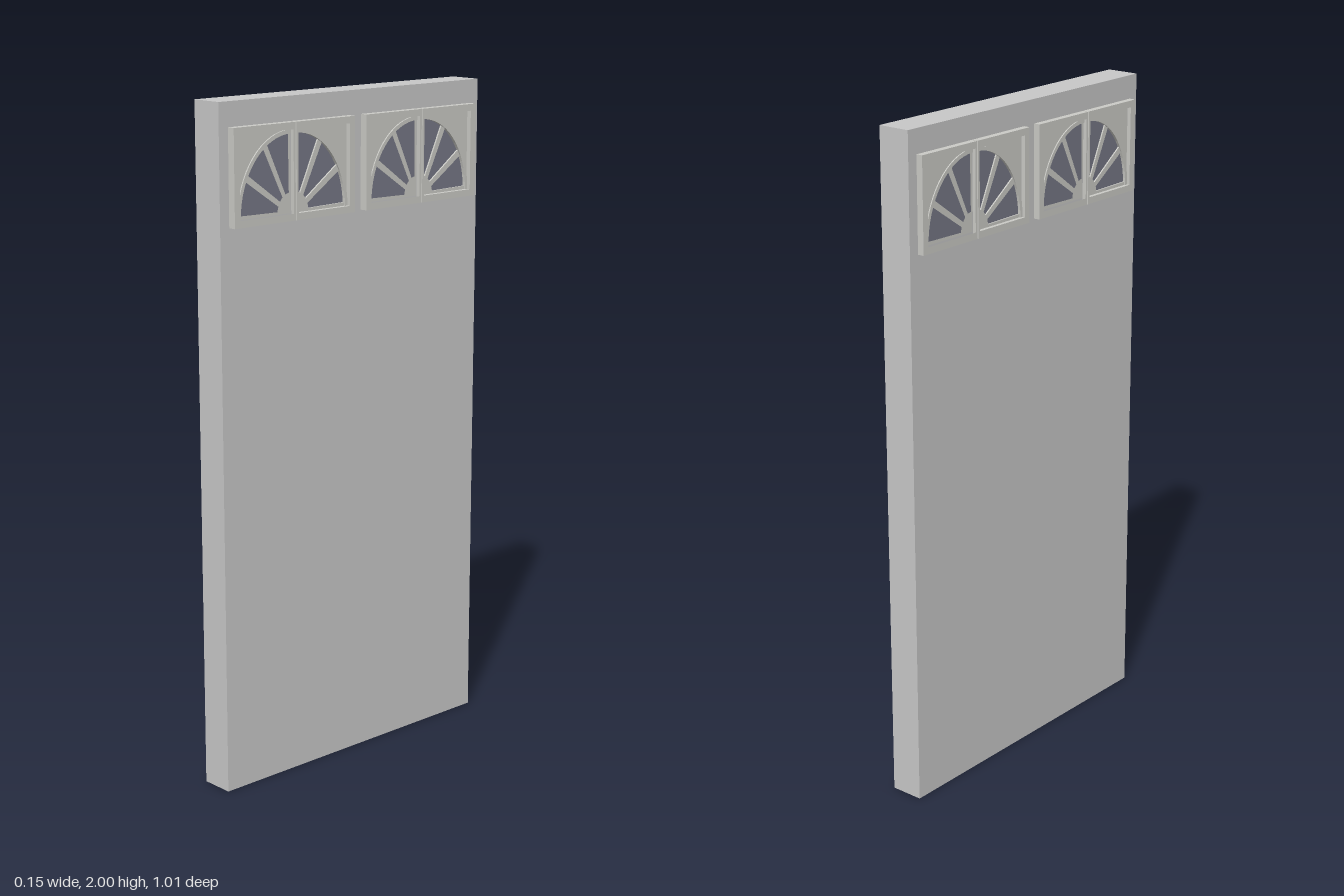
import * as THREE from 'three';

const WIDTH = 0.225, HEIGHT = 0.275;              // one sash
const IN = { u0: 0.009, u1: 0.205, v0: 0.02, v1: 0.255 }; // sash opening
const RX = IN.u1 - IN.u0, RY = IN.v1 - IN.v0;     // fan radii

// Closed outline from [u, v] points; s mirrors the sash
const outline = (pts, s, Type = THREE.Shape) =>
  new Type(pts.map(([u, v]) => new THREE.Vector2(u * s, v)));

const rect = (u0, v0, u1, v1) => [[u0, v0], [u1, v0], [u1, v1], [u0, v1]];

// Points along an elliptical arc round the fan centre
function arc(k, a0, a1, n) {
  return Array.from({ length: n + 1 }, (_, i) => {
    const a = a0 + (a1 - a0) * i / n;
    return [IN.u0 + RX * k * Math.cos(a), IN.v0 + RY * k * Math.sin(a)];
  });
}

// Ring sector; the inner ends get a wider angular gap so the spokes stay parallel
function sector(a0, a1) {
  const outer = arc(0.95, a0 + 0.045, a1 - 0.045, 8);
  const inner = arc(0.25, a0 + 0.13, a1 - 0.13, 4).reverse();
  return [...outer, ...inner];
}

export function createModel() {
  const group = new THREE.Group();
  const mat = (name, color) => new THREE.MeshStandardMaterial({ name, color });
  const doorPaint = mat('door grey', 0xc8c8c8);
  const trimPaint = mat('trim grey', 0xcbcbc6);
  const glassPaint = mat('tinted glass', 0x777886);

  // Door slab
  const slab = new THREE.Mesh(new THREE.BoxGeometry(0.101, 2, 1.01), doorPaint);
  slab.name = 'doorSlab';
  slab.position.set(-0.0025, 1, 0);
  group.add(slab);

  const part = (parent, name, shape, depth, material) => {
    const geo = new THREE.ExtrudeGeometry(shape, { depth, bevelEnabled: false });
    const mesh = new THREE.Mesh(geo, material);
    mesh.name = name;
    parent.add(mesh);
  };

  // One sash with a quarter sunburst
  function sash(s) {
    const g = new THREE.Group();
    g.name = 'sash';

    const frame = outline(rect(0.002, 0, WIDTH, HEIGHT), s);
    frame.holes.push(outline(rect(IN.u0, IN.v0, IN.u1, IN.v1), s, THREE.Path));
    part(g, 'sashFrame', frame, 0.0225, trimPaint);

    // Fan panel: three glazed openings between spokes and hub
    const panel = outline(rect(IN.u0, IN.v0, IN.u1, IN.v1), s);
    for (let i = 0; i < 3; i++) {
      const pts = sector(i * Math.PI / 6, (i + 1) * Math.PI / 6);
      panel.holes.push(outline(pts, s, THREE.Path));
    }
    part(g, 'fanPanel', panel, 0.009, trimPaint);

    // Raised arch moulding
    const rim = [...arc(1, 0, Math.PI / 2, 16), ...arc(0.95, 0, Math.PI / 2, 16).reverse()];
    part(g, 'archRim', outline(rim, s), 0.013, trimPaint);

    part(g, 'glass', outline(rect(IN.u0, IN.v0, IN.u1, IN.v1), s), 0.004, glassPaint);
    return g;
  }

  // Two windows of two sashes on each face
  for (const side of [1, -1]) {
    for (const z of [0.2475, -0.2475]) {
      const win = new THREE.Group();
      win.name = 'fanWindow';
      win.add(sash(1), sash(-1));
      win.rotation.y = side * Math.PI / 2;
      win.position.set(side > 0 ? 0.048 : -0.053, 1.655, z);
      win.scale.z = side > 0 ? 1.07 : 0.89;
      group.add(win);
    }
  }
  return group;
}
